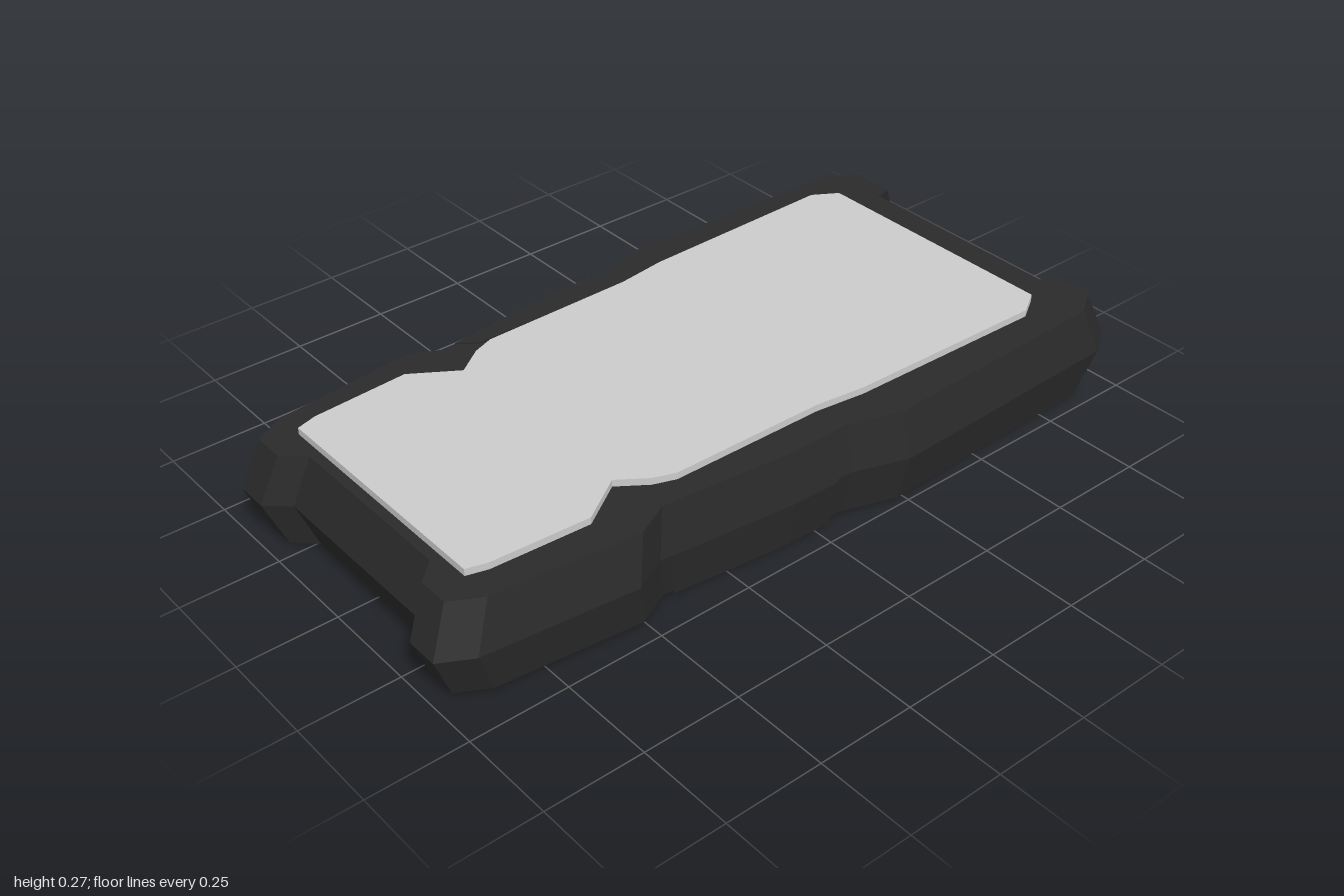
import * as THREE from 'three';

const dark = new THREE.MeshStandardMaterial({ color: 0x2a2a2a, flatShading: true });
const grey = new THREE.MeshStandardMaterial({ color: 0xcccccc, flatShading: true });

const v2 = ([x, z]) => new THREE.Vector2(x, z);
const mirrored = (pts) => [...pts, ...pts.map(([x, z]) => [-x, z]).reverse()];

// Horizontal slab from an (x, z) outline; inset(x, z) scales its top and bottom edges
function slab(name, pts, y0, y1, material, inset) {
  const h = y1 - y0;
  const geo = new THREE.ExtrudeGeometry(new THREE.Shape(pts.map(v2)), { depth: h, steps: inset ? 2 : 1, bevelEnabled: false });
  if (inset) {
    const p = geo.attributes.position;
    for (let i = 0; i < p.count; i++) {
      const x = p.getX(i), z = p.getY(i);
      if (Math.abs(p.getZ(i) - h / 2) < h * 0.1) continue;
      const s = inset(x, z);
      p.setXY(i, x * s, z * s);
    }
  }
  geo.rotateX(Math.PI / 2).translate(0, y1, 0);
  geo.computeVertexNormals();
  const mesh = new THREE.Mesh(geo, material);
  mesh.name = name;
  return mesh;
}

// Faceted button pointing backwards, from a [radius, depth] profile
function button(name, profile, sides, x, y, z) {
  const pts = profile.map(([r, d]) => new THREE.Vector2(r, d));
  const mesh = new THREE.Mesh(new THREE.LatheGeometry(pts, sides).rotateX(-Math.PI / 2), dark);
  mesh.position.set(x, y, z);
  mesh.name = name;
  return mesh;
}

export function createModel() {
  const group = new THREE.Group();
  const mid = 0.128;

  // Rugged case: ridge at mid height, corner bumpers and a waist
  const side = [
    [0.295, -0.925], [0.295, -0.945], [0.31, -1], [0.435, -1], [0.485, -0.925],
    [0.507, -0.24], [0.46, -0.1], [0.455, 0.02], [0.443, 0.21], [0.425, 0.44],
    [0.47, 0.53], [0.43, 0.92], [0.385, 1], [0.3, 1], [0.25, 0.945],
  ];
  group.add(slab('case', mirrored(side), 0.006, 0.252, dark,
    (x, z) => (z < 0 && z > -0.96 && Math.abs(x) < 0.3 ? 0.983 : 0.95)));

  // Side grips in the waist
  const grip = [[0.39, 0.02], [0.465, -0.05], [0.463, 0.08], [0.45, 0.21], [0.428, 0.41], [0.39, 0.36]];
  for (const s of [1, -1]) {
    const pts = grip.map(([x, z]) => [x * s, z]);
    group.add(slab(s > 0 ? 'leftGrip' : 'rightGrip', pts, 0, 0.256, dark, () => 0.955));
  }

  // Raised face plate
  const plate = [
    [0.345, -0.815], [0.385, -0.75], [0.372, -0.21], [0.355, -0.08], [0.35, 0.33], [0.33, 0.385],
    [0.28, 0.455], [0.355, 0.57], [0.34, 0.82], [0.325, 0.872],
  ];
  group.add(slab('facePlate', mirrored(plate), 0.24, 0.27, grey));

  // Connector panel between the rear bumpers
  const panel = new THREE.Mesh(new THREE.BoxGeometry(0.43, 0.17, 0.06), dark);
  panel.position.set(0, mid, -0.912);
  panel.name = 'connectorPanel';
  group.add(panel);

  // Rear controls
  group.add(button('roundCap', [[0.078, 0], [0.078, 0.015], [0.055, 0.032], [0, 0.032]], 12, 0.077, mid, -0.94));
  group.add(button('knob', [[0.07, 0], [0.06, 0.04], [0.045, 0.058], [0, 0.06]], 6, -0.128, mid, -0.94));
  return group;
}
